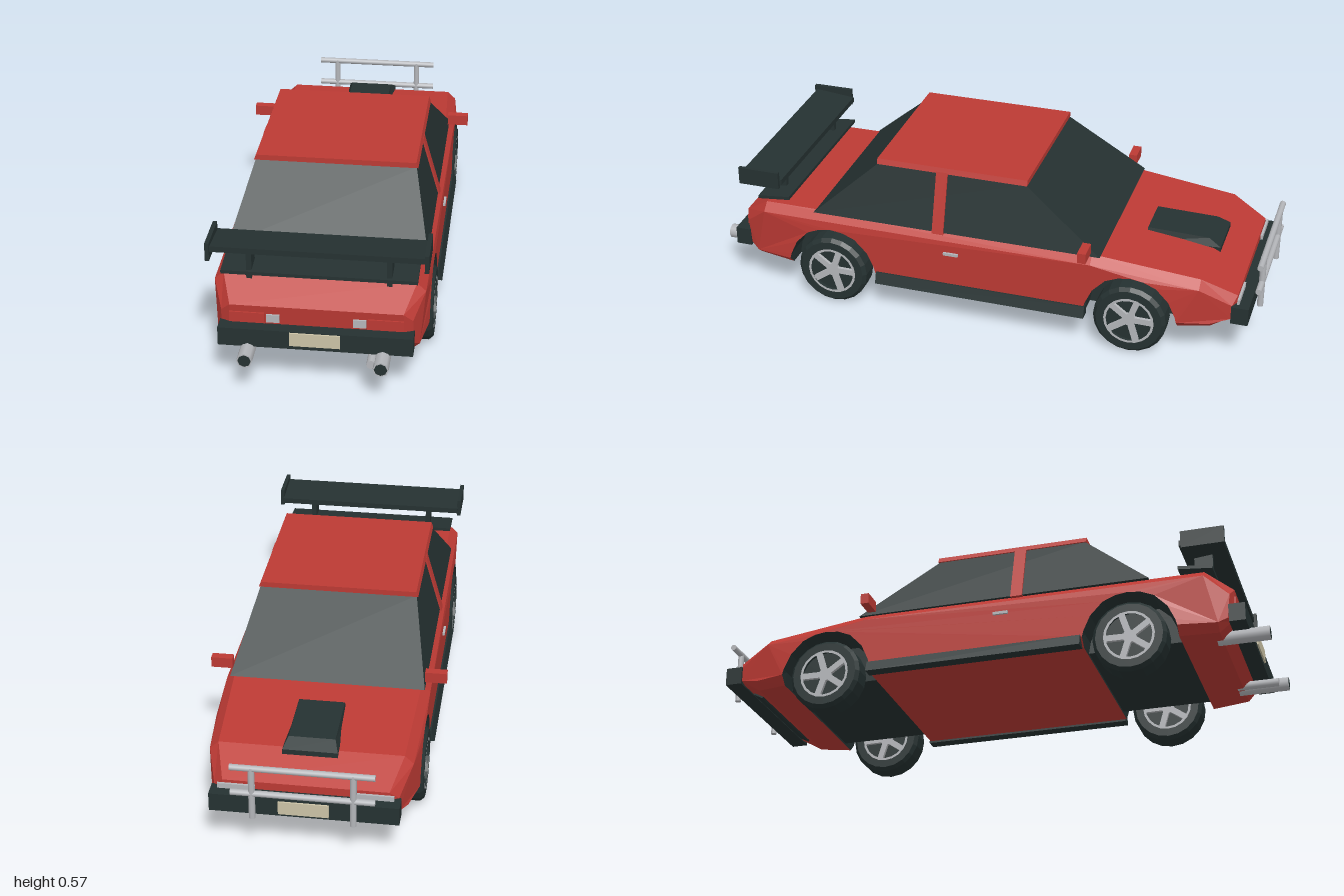
import * as THREE from 'three';

const mat = (name, color) => {
  const m = new THREE.MeshStandardMaterial({ color });
  m.name = name;
  return m;
};

export function createModel() {
  const car = new THREE.Group();
  car.name = 'rallyCar';
  const red = mat('red paint', 0xbc3a34);
  const dark = mat('dark trim', 0x253131);
  const silver = mat('silver', 0xb4b6ba);
  const cream = mat('cream plate', 0xcbc3a6);

  const add = (name, geo, material, x = 0, y = 0, z = 0, parent = car) => {
    const m = new THREE.Mesh(geo, material);
    m.name = name;
    m.position.set(x, y, z);
    parent.add(m);
    return m;
  };
  // box given by its limits on each axis
  const box = (name, material, [x0, x1], [y0, y1], [z0, z1]) =>
    add(name, new THREE.BoxGeometry(x1 - x0, y1 - y0, z1 - z0), material,
      (x0 + x1) / 2, (y0 + y1) / 2, (z0 + z1) / 2);
  // flat-sided geometry whose vertices are moved by a rule
  const reshape = (geo, rule) => {
    const g = geo.toNonIndexed();
    const p = g.attributes.position, v = new THREE.Vector3();
    for (let i = 0; i < p.count; i++) {
      rule(v.fromBufferAttribute(p, i));
      p.setXYZ(i, v.x, v.y, v.z);
    }
    g.computeVertexNormals();
    return g;
  };
  // joins closed (z, y) outlines placed across x; edges flagged in isDark use the second material
  const loft = (layers, isDark) => {
    const parts = [[], []];
    const tri = (list, ...pts) => pts.forEach(p => list.push(...p));
    const n = layers[0].length;
    for (let k = 0; k + 1 < layers.length; k++) {
      for (let i = 0; i < n; i++) {
        const j = (i + 1) % n, a = layers[k], b = layers[k + 1];
        const list = parts[isDark(i, j) ? 1 : 0];
        tri(list, a[i], b[i], b[j], a[i], b[j], a[j]);
      }
    }
    const first = layers[0], last = layers[layers.length - 1];
    const faces = THREE.ShapeUtils.triangulateShape(first.map(p => new THREE.Vector2(p[2], p[1])), []);
    for (const [a, b, c] of faces) {
      tri(parts[0], first[a], first[b], first[c], last[a], last[c], last[b]);
    }
    const g = new THREE.BufferGeometry();
    g.setAttribute('position', new THREE.Float32BufferAttribute([...parts[0], ...parts[1]], 3));
    g.addGroup(0, parts[0].length / 3, 0);
    g.addGroup(parts[0].length / 3, parts[1].length / 3, 1);
    g.computeVertexNormals();
    return g;
  };

  // body shell with chamfered flanks and wheel tunnels
  const axles = [-0.565, 0.54];
  const archHalf = [[-0.165, 0.12], [-0.16, 0.17], [-0.135, 0.225], [-0.09, 0.272], [-0.045, 0.291]];
  const arch = c => [...archHalf, [0, 0.297], ...archHalf.map(([z, y]) => [-z, y]).reverse()]
    .map(([z, y]) => [z + c, y, true]);
  const outline = [
    [0.84, 0.125], [0.885, 0.17], [0.895, 0.287], [0.8, 0.353], [-0.42, 0.353],
    [-0.8, 0.312], [-0.925, 0.25], [-0.925, 0.17], [-0.84, 0.125],
    ...arch(axles[0]), ...arch(axles[1]),
  ];
  const halfWidth = z => z > 0.78 ? 0.355 - (z - 0.78) * 0.36
    : z < -0.75 ? 0.353 - (-0.75 - z) * 0.28 : 0.355;
  const core = s => outline.map(([z, y]) => [s * (halfWidth(z) - 0.03), y, z]);
  const flank = s => outline.map(([z, y, isArch]) => [
    s * halfWidth(z),
    !isArch && y > 0.24 ? y - 0.028 : Math.max(y, 0.15),
    Math.abs(z) > 0.87 ? z * 0.985 : z,
  ]);
  add('body', loft([flank(-1), core(-1), core(1), flank(1)], (i, j) => outline[i][2] && outline[j][2]
    && Math.abs(outline[i][0] - outline[j][0]) < 0.2), [red, dark]);

  // dark inner wells, leaving a gap under each arch
  for (const c of axles) {
    const well = [[0.163, 0.125], [0.155, 0.17], [0.13, 0.225], [0.09, 0.262],
      [-0.09, 0.262], [-0.13, 0.225], [-0.155, 0.17], [-0.163, 0.125]];
    const side = x => well.map(([z, y]) => [x, y, z + c]);
    add('innerWell', loft([side(-0.265), side(0.265)], () => false), dark);
  }

  // glass cabin, roof and door pillars
  add('cabinGlass', reshape(new THREE.BoxGeometry(2, 1, 2), v => {
    const top = v.y > 0;
    v.set(v.x * (top ? 0.277 : 0.338), top ? 0.558 : 0.35,
      v.z > 0 ? (top ? 0.375 : 0.61) : (top ? -0.165 : -0.45));
  }), dark);
  add('roof', reshape(new THREE.BoxGeometry(2, 1, 2), v => {
    const top = v.y > 0;
    v.set(v.x * (top ? 0.276 : 0.283), top ? 0.575 : 0.556, v.z > 0 ? 0.38 : -0.172);
  }), red);
  for (const s of [-1, 1]) {
    add('doorPillar', reshape(new THREE.BoxGeometry(0.03, 1, 0.042), v => {
      const top = v.y > 0;
      v.set(v.x + s * (top ? 0.268 : 0.33), top ? 0.56 : 0.345, v.z + 0.138);
    }), red);
    const span = (a, b) => s > 0 ? [a, b] : [-b, -a];
    box('mirror', red, span(0.335, 0.41), [0.362, 0.4], [-0.418, -0.388]);
    box('doorHandle', silver, span(0.35, 0.363), [0.274, 0.284], [0.058, 0.112]);
    // flared sill
    add('sill', reshape(new THREE.BoxGeometry(0.02, 0.04, 0.775), v => {
      v.x = s * (v.x * s > 0 ? (v.y < 0 ? 0.374 : 0.361) : 0.33);
      v.y += 0.135;
      v.z -= 0.018;
    }), dark);
    // lamps
    box('tailLight', red, span(0.168, 0.285), [0.225, 0.262], [0.889, 0.898]);
    box('reverseLight', silver, span(0.12, 0.163), [0.23, 0.258], [0.89, 0.899]);
    box('headlight', silver, span(0.165, 0.29), [0.222, 0.24], [-0.934, -0.926]);
    // rear wing end plates and posts
    box('wingEndPlate', dark, span(0.347, 0.361), [0.437, 0.5], [0.73, 0.882]);
    box('wingPost', dark, span(0.221, 0.239), [0.345, 0.465], [0.755, 0.82]);
  }

  // rear wing and lower lip
  add('wing', reshape(new THREE.BoxGeometry(0.7, 0.02, 0.15), v => {
    v.y += v.z > 0 ? 0.475 : 0.46;
    v.z += 0.797;
  }), dark);
  add('lipSpoiler', reshape(new THREE.BoxGeometry(0.645, 0.012, 0.12), v => {
    v.y += v.z > 0 ? 0.369 : 0.381;
    v.z += 0.77;
  }), dark);

  // hood scoop
  const scoop = [[-0.56, 0.3], [-0.56, 0.347], [-0.78, 0.342], [-0.825, 0.318], [-0.825, 0.28]];
  const scoopSide = s => scoop.map(([z, y]) => [s * (y > 0.33 ? 0.078 : 0.092), y, z]);
  add('hoodScoop', loft([scoopSide(-1), scoopSide(1)], () => false), dark);

  // bumpers, number plates and lower grille
  box('rearBumper', dark, [-0.319, 0.319], [0.155, 0.22], [0.875, 0.932]);
  box('frontBumper', dark, [-0.312, 0.312], [0.157, 0.222], [-0.97, -0.91]);
  box('rearPlate', cream, [-0.083, 0.083], [0.17, 0.217], [0.93, 0.938]);
  box('frontPlate', cream, [-0.083, 0.083], [0.167, 0.214], [-0.976, -0.968]);
  const grille = add('lowerGrille', new THREE.BoxGeometry(0.44, 0.009, 0.04), dark, 0, 0.144, -0.88);
  grille.rotation.x = Math.atan2(0.045, 0.085);

  // front guard bar
  const rod = (name, length, x, y, horizontal) => {
    const m = add(name, new THREE.CylinderGeometry(0.011, 0.011, length, 10), silver, x, y, -0.988);
    if (horizontal) m.rotation.z = Math.PI / 2;
  };
  rod('guardTopRail', 0.47, 0, 0.346, true);
  rod('guardLowerRail', 0.47, 0, 0.25, true);
  for (const s of [-1, 1]) rod('guardPost', 0.195, s * 0.165, 0.253, false);

  // exhausts with dark bores
  const pipe = (x, y, r, z0, z1) => {
    const m = add('exhaust', new THREE.CylinderGeometry(r, r, z1 - z0, 8), silver, x, y, (z0 + z1) / 2);
    m.rotation.x = Math.PI / 2;
    add('exhaustBore', new THREE.CircleGeometry(r * 0.84, 8), dark, x, y, z1 + 0.0006);
  };
  for (const s of [-1, 1]) pipe(s * 0.221, 0.141, 0.026, 0.82, 0.999);
  const muffler = add('muffler', new THREE.CylinderGeometry(0.016, 0.016, 0.15, 8), silver, 0.187, 0.137, 0.893);
  muffler.rotation.x = Math.PI / 2;

  // wheels: chamfered tyre, dark disc, rim and five spokes on both faces
  const tyreProfile = [[0.088, -0.045], [0.118, -0.045], [0.13, -0.032], [0.13, 0.032],
    [0.118, 0.045], [0.088, 0.045], [0.088, -0.045]].map(([r, y]) => new THREE.Vector2(r, y));
  const tyre = reshape(new THREE.LatheGeometry(tyreProfile, 20), () => {});
  const disc = new THREE.CylinderGeometry(0.089, 0.089, 0.05, 20);
  for (const c of axles) for (const s of [-1, 1]) {
    const wheel = new THREE.Group();
    wheel.name = 'wheel';
    wheel.position.set(s * 0.317, 0.13, c);
    wheel.rotation.z = -s * Math.PI / 2;
    car.add(wheel);
    add('tyre', tyre, dark, 0, 0, 0, wheel);
    add('wheelDisc', disc, dark, 0, 0, 0, wheel);
    for (const f of [-1, 1]) {
      const rim = add('rim', new THREE.RingGeometry(0.081, 0.09, 20), silver, 0, f * 0.0455, 0, wheel);
      rim.rotation.x = -f * Math.PI / 2;
      add('hub', new THREE.CylinderGeometry(0.024, 0.024, 0.012, 10), silver, 0, f * 0.032, 0, wheel);
      for (let i = 0; i < 5; i++) {
        const a = i * Math.PI * 0.4 + 0.3;
        const spoke = add('spoke', new THREE.BoxGeometry(0.07, 0.012, 0.022), silver,
          Math.cos(a) * 0.05, f * 0.032, -Math.sin(a) * 0.05, wheel);
        spoke.rotation.y = a;
      }
    }
  }
  return car;
}
